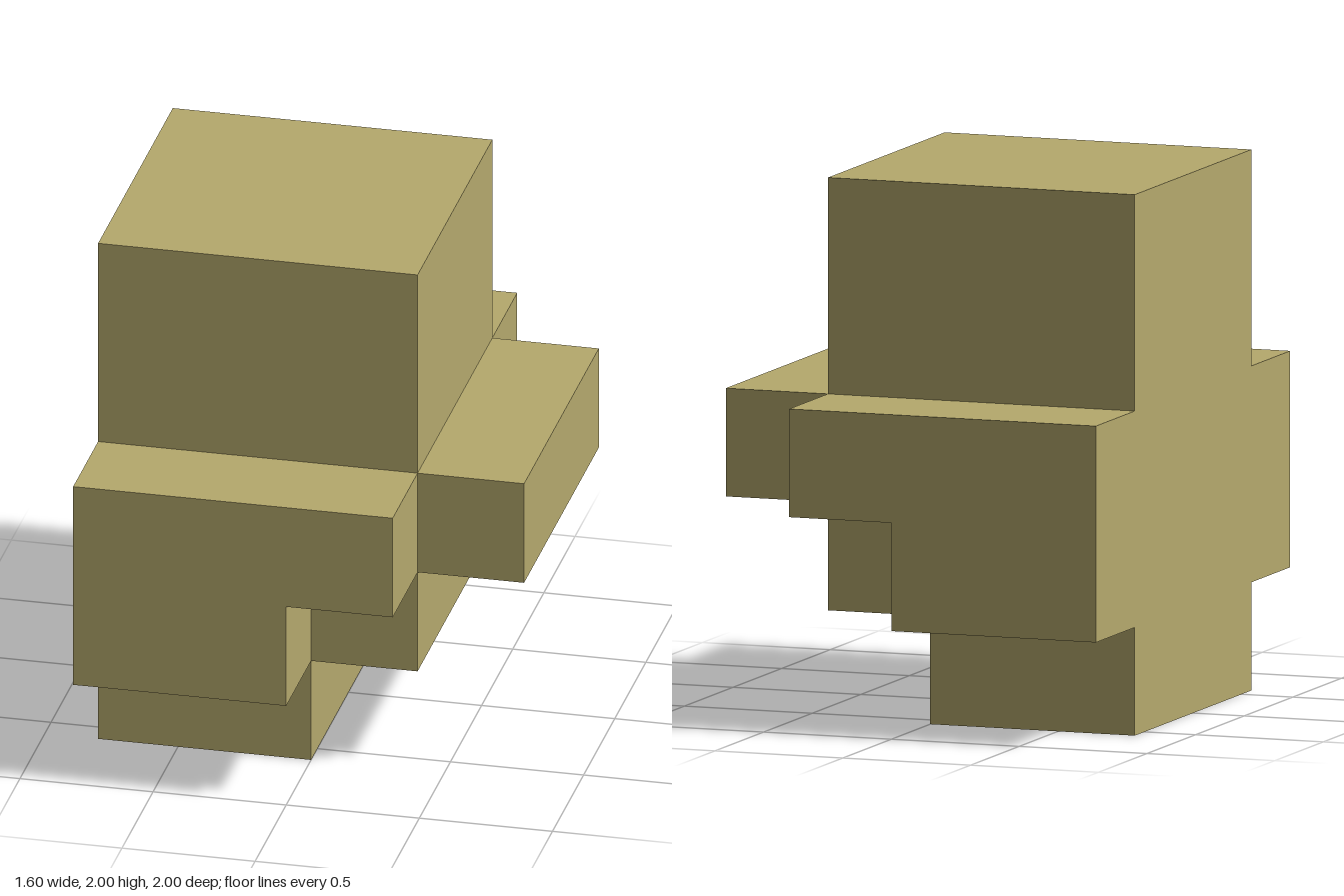
import * as THREE from 'three';

const khaki = new THREE.MeshStandardMaterial({ color: 0xb5a96d });
khaki.name = 'khaki';

// Stepped outline in x and y, extruded from z0 to z1
function steppedSlab(name, outline, z0, z1) {
  const shape = new THREE.Shape(outline.map(([x, y]) => new THREE.Vector2(x, y)));
  const geometry = new THREE.ExtrudeGeometry(shape, { depth: z1 - z0, bevelEnabled: false });
  geometry.translate(0, 0, z0);
  const mesh = new THREE.Mesh(geometry, khaki);
  mesh.name = name;
  return mesh;
}

export function createModel() {
  const model = new THREE.Group();
  model.name = 'steppedBlock';

  // Central body with the side ledge and undercut steps
  const core = [
    [-0.8, 0], [0, 0], [0, 0.4], [0.4, 0.4], [0.4, 0.8],
    [0.8, 0.8], [0.8, 1.2], [0.4, 1.2], [0.4, 2], [-0.8, 2],
  ];
  model.add(steppedSlab('core', core, -0.6, 0.6));

  // Matching ledges on the front and back
  const ledge = [[-0.8, 0.4], [0, 0.4], [0, 0.8], [0.4, 0.8], [0.4, 1.2], [-0.8, 1.2]];
  model.add(steppedSlab('frontLedge', ledge, 0.6, 1));
  model.add(steppedSlab('backLedge', ledge, -1, -0.6));

  return model;
}
